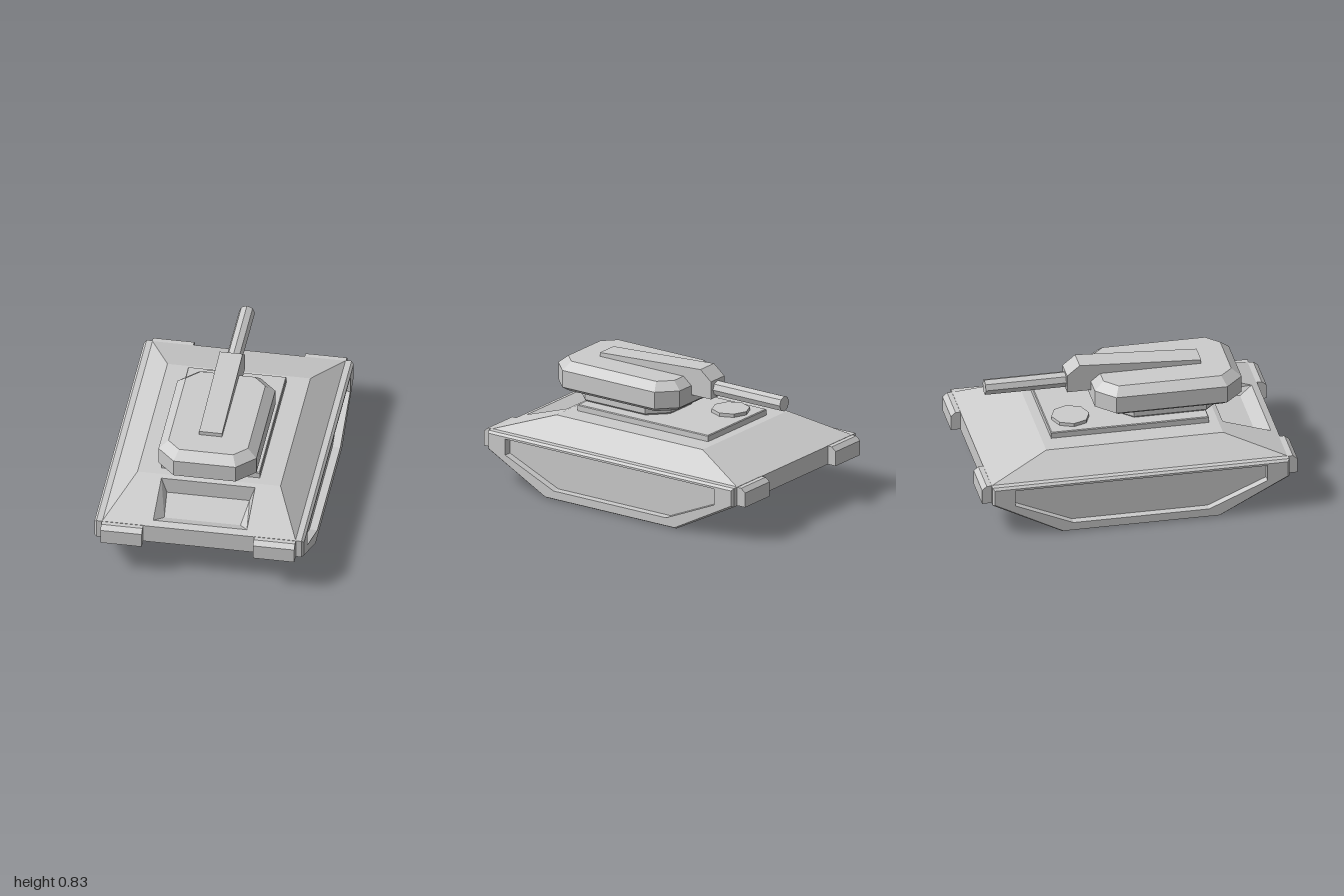
import * as THREE from 'three';

const material = new THREE.MeshStandardMaterial({ color: 0xcccccc, flatShading: true });

function add(parent, name, geometry) {
  const mesh = new THREE.Mesh(geometry, material);
  mesh.name = name;
  parent.add(mesh);
  return mesh;
}

// Facets from convex polygons, each listed counter-clockwise from outside.
function facets(polygons) {
  const pos = [];
  for (const p of polygons) {
    for (let i = 1; i < p.length - 1; i++) pos.push(...p[0], ...p[i], ...p[i + 1]);
  }
  const g = new THREE.BufferGeometry();
  g.setAttribute('position', new THREE.Float32BufferAttribute(pos, 3));
  g.computeVertexNormals();
  return g;
}

// Quads joining each ring to the next.
function bands(rings) {
  const out = [];
  for (let r = 0; r < rings.length - 1; r++) {
    const a = rings[r], b = rings[r + 1];
    a.forEach((p, i) => {
      const j = (i + 1) % a.length;
      out.push([p, a[j], b[j], b[i]]);
    });
  }
  return out;
}

// Closed solid through rings that run counter-clockwise seen from the last one.
const loft = (rings) =>
  facets([[...rings[0]].reverse(), ...bands(rings), rings[rings.length - 1]]);

// A [z, y] outline placed at a given x.
const slice = (x, outline) => outline.map(([z, y]) => [x, y, z]);

// Chamfered rectangle at a given height.
const octagon = (y, x, z0, z1, c) => [
  [x, y, z1 - c], [x, y, z0 + c], [x - c, y, z0], [c - x, y, z0],
  [-x, y, z0 + c], [-x, y, z1 - c], [c - x, y, z1], [x - c, y, z1],
];

const rect = (y, x, z) => [[-x, y, z], [x, y, z], [x, y, -z], [-x, y, -z]];

// Symmetric track outline from its three corner points on one end.
const trackOutline = (pts) => [...pts, ...[...pts].reverse().map(([z, y]) => [-z, y])];

export function createModel() {
  const model = new THREE.Group();
  model.name = 'tank';

  // Hull with sloped deck and a sunken panel in the +z slope
  const low = rect(0.23, 0.61, 0.94);
  const edge = rect(0.35, 0.61, 0.94);
  const deck = rect(0.475, 0.45, 0.56);
  const slopes = bands([edge, deck]).slice(1);
  const slopeOutline = [edge[0], edge[1], deck[1], deck[0]];
  const pitRim = [[-0.295, 0.365, 0.895], [0.295, 0.365, 0.895], [0.295, 0.465, 0.59], [-0.295, 0.465, 0.59]];
  const pitFloor = [[-0.24, 0.33, 0.81], [0.24, 0.33, 0.81], [0.26, 0.36, 0.59], [-0.26, 0.36, 0.59]];
  add(model, 'hull', facets([
    [...low].reverse(), ...bands([low, edge]), ...slopes, deck,
    ...bands([slopeOutline, pitRim, pitFloor]), pitFloor,
  ]));

  // Track housings with bevelled rims and recessed side panels
  const outer = trackOutline([[0.94, 0.352], [0.94, 0.23], [0.5, 0]]);
  const bevel = trackOutline([[0.928, 0.338], [0.928, 0.238], [0.495, 0.008]]);
  const recess = trackOutline([[0.8, 0.325], [0.8, 0.22], [0.43, 0.06]]);
  const track = loft([
    slice(0.35, outer), slice(0.645, outer), slice(0.66, bevel),
    slice(0.66, recess), slice(0.61, recess),
  ]);
  add(model, 'leftTrack', track);
  add(model, 'rightTrack', track).rotation.y = Math.PI;

  // Fender blocks on the four corners
  const fender = [[1, 0.325], [1, 0.23], [0.93, 0.23], [0.93, 0.35], [0.97, 0.35]];
  for (const x of [-0.61, 0.35]) {
    const g = loft([slice(x, fender), slice(x + 0.26, fender)]);
    add(model, 'fenderBlock', g);
    add(model, 'fenderBlock', g).rotation.y = Math.PI;
  }

  // Deck plate and hatch
  add(model, 'deckPlate', loft([rect(0.47, 0.31, 0.5), rect(0.51, 0.31, 0.5), rect(0.515, 0.305, 0.495)]));
  add(model, 'hatch', new THREE.CylinderGeometry(0.12, 0.12, 0.025, 8)).position.set(-0.145, 0.525, -0.345);

  // Turret
  const turret = new THREE.Group();
  turret.name = 'turret';
  model.add(turret);
  add(turret, 'turretNeck', loft([
    octagon(0.512, 0.22, -0.065, 0.605, 0.11),
    octagon(0.525, 0.23, -0.075, 0.615, 0.115),
    octagon(0.58, 0.23, -0.075, 0.615, 0.115),
  ]));
  add(turret, 'turretBody', loft([
    octagon(0.575, 0.265, -0.16, 0.69, 0.095),
    octagon(0.605, 0.308, -0.2, 0.73, 0.113),
    octagon(0.715, 0.308, -0.2, 0.73, 0.113),
    octagon(0.765, 0.25, -0.14, 0.67, 0.08),
  ]));

  // Gun mount and barrel
  const mount = [[0.5, 0.79], [0.5, 0.75], [-0.19, 0.655], [-0.35, 0.655], [-0.35, 0.77], [-0.27, 0.835]];
  add(turret, 'gunMount', loft([slice(-0.072, mount), slice(0.072, mount)]));
  const barrel = new THREE.CylinderGeometry(0.05, 0.05, 0.54, 8).rotateX(Math.PI / 2);
  add(turret, 'gunBarrel', barrel).position.set(0, 0.71, -0.59);

  return model;
}
